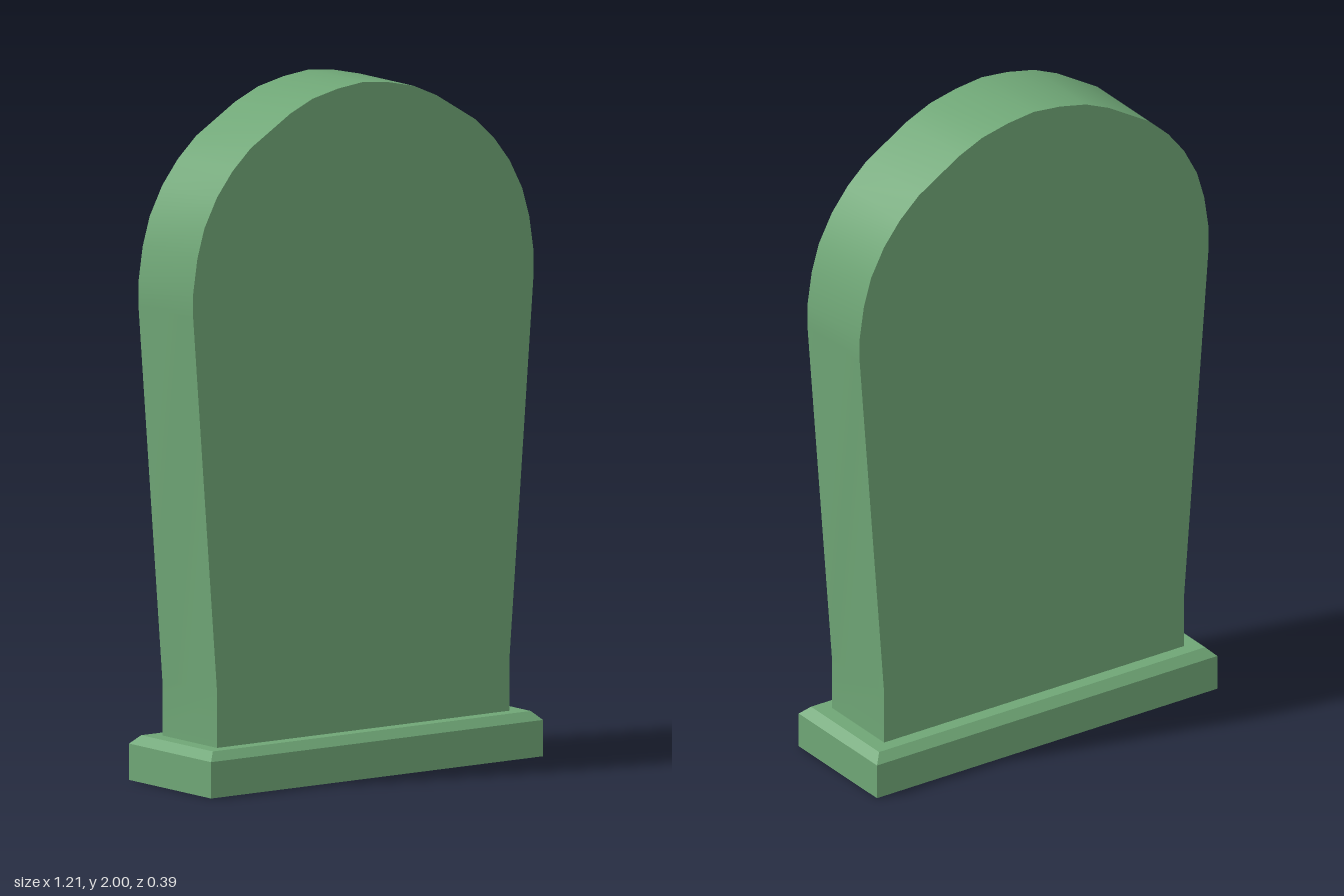
import * as THREE from 'three';
import { toCreasedNormals } from 'three/addons/utils/BufferGeometryUtils.js';

const material = new THREE.MeshStandardMaterial({ color: 0x6fa676 });

// Plinth: a block whose top edge is chamfered
function createBase() {
  const geometry = new THREE.BoxGeometry(1.18, 0.13, 0.39, 1, 2, 1).translate(0, 0.065, 0);
  const pos = geometry.attributes.position;
  for (let i = 0; i < pos.count; i++) {
    const x = pos.getX(i), y = pos.getY(i), z = pos.getZ(i);
    if (y > 0.1) pos.setXYZ(i, x - Math.sign(x) * 0.025, y, z - Math.sign(z) * 0.025);
    else if (y > 0.03) pos.setY(i, 0.105);
  }
  const flat = geometry.toNonIndexed();
  flat.computeVertexNormals();
  const mesh = new THREE.Mesh(flat, material);
  mesh.name = 'base';
  return mesh;
}

// Upright slab: right half of the outline, mirrored and extruded
function createSlab() {
  const half = [
    [0.52, 0.12], [0.52, 0.29], [0.605, 1.38], [0.605, 1.45], [0.59, 1.55], [0.565, 1.635],
    [0.52, 1.72], [0.465, 1.79], [0.4, 1.85], [0.26, 1.935], [0.18, 1.97], [0.09, 1.99],
  ];
  const outline = [...half, [0, 2], ...half.map(([x, y]) => [-x, y]).reverse()];
  const shape = new THREE.Shape(outline.map(([x, y]) => new THREE.Vector2(x, y)));
  const geometry = new THREE.ExtrudeGeometry(shape, { depth: 0.26, bevelEnabled: false });
  geometry.translate(0, 0, -0.13);
  const mesh = new THREE.Mesh(toCreasedNormals(geometry, Math.PI / 6), material);
  mesh.name = 'slab';
  return mesh;
}

export function createModel() {
  const group = new THREE.Group();
  group.name = 'headstone';
  group.add(createBase(), createSlab());
  return group;
}
